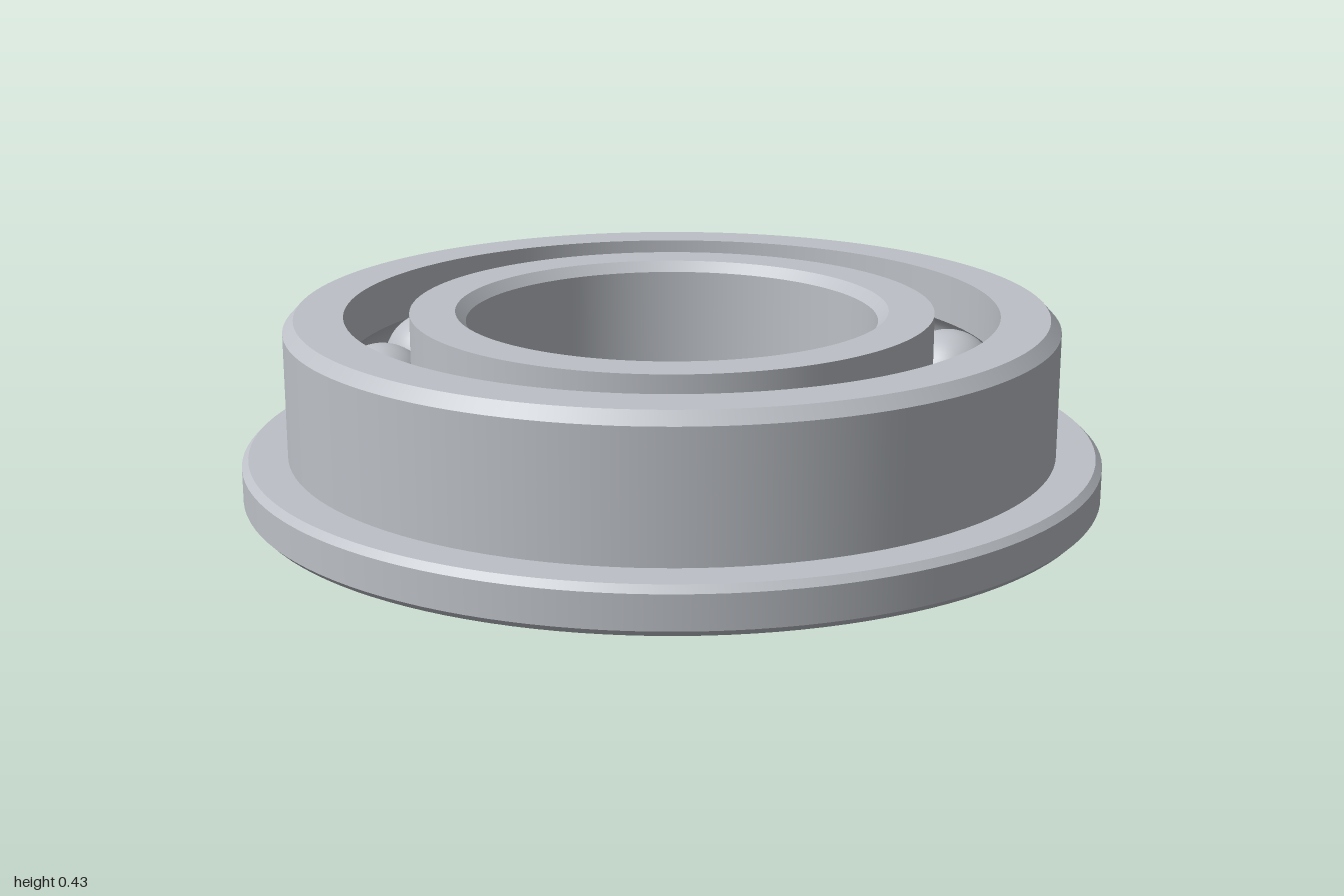
import * as THREE from 'three';
import { mergeGeometries } from 'three/addons/utils/BufferGeometryUtils.js';

const HEIGHT = 0.425, MID = HEIGHT / 2;
const PITCH = 0.682, BALL_R = 0.118, GROOVE_R = 0.12;
const INNER_R = 0.607, OUTER_R = 0.757, BORE_R = 0.478;
const BALLS = 13;

// Lathe each run of the profile separately, so corners between runs stay sharp
function revolve(runs) {
  return mergeGeometries(runs.map((run) =>
    new THREE.LatheGeometry(run.map(([r, y]) => new THREE.Vector2(r, y)), 128)));
}

// Turn a list of corners into straight runs
const straight = (pts) => pts.slice(1).map((p, i) => [pts[i], p]);

// Ball groove cross-section, swept clockwise about the given middle angle
function groove(wallR, middle) {
  const half = Math.acos(Math.abs(wallR - PITCH) / GROOVE_R);
  return Array.from({ length: 17 }, (_, i) => {
    const a = middle + half * (1 - i / 8);
    return [PITCH + GROOVE_R * Math.cos(a), MID + GROOVE_R * Math.sin(a)];
  });
}

export function createModel() {
  const group = new THREE.Group();
  const steel = new THREE.MeshStandardMaterial({ color: 0xbcc0c6 });
  steel.name = 'steel';

  const add = (name, geometry, parent = group) => {
    const mesh = new THREE.Mesh(geometry, steel);
    mesh.name = name;
    parent.add(mesh);
    return mesh;
  };

  // Flanged outer ring with chamfered rims and a ball groove inside
  const outerGroove = groove(OUTER_R, 0);
  add('outerRing', revolve([
    ...straight([
      outerGroove[16], [OUTER_R, 0], [0.985, 0], [1, 0.015], [1, 0.092], [0.985, 0.107],
      [0.895, 0.107], [0.895, 0.398], [0.87, HEIGHT], [OUTER_R, HEIGHT], outerGroove[0],
    ]),
    outerGroove,
  ]));

  // Inner ring with a chamfered bore and a ball groove outside
  const innerGroove = groove(INNER_R, Math.PI);
  add('innerRing', revolve([
    ...straight([
      innerGroove[16], [INNER_R, HEIGHT], [0.502, HEIGHT], [BORE_R, 0.401],
      [BORE_R, 0.024], [0.502, 0], [INNER_R, 0], innerGroove[0],
    ]),
    innerGroove,
  ]));

  // Evenly spaced balls between the rings
  const balls = new THREE.Group();
  balls.name = 'balls';
  group.add(balls);
  const sphere = new THREE.SphereGeometry(BALL_R, 40, 24);
  for (let i = 0; i < BALLS; i++) {
    const a = (i / BALLS) * Math.PI * 2;
    add('ball', sphere, balls).position.set(PITCH * Math.cos(a), MID, PITCH * Math.sin(a));
  }

  return group;
}
